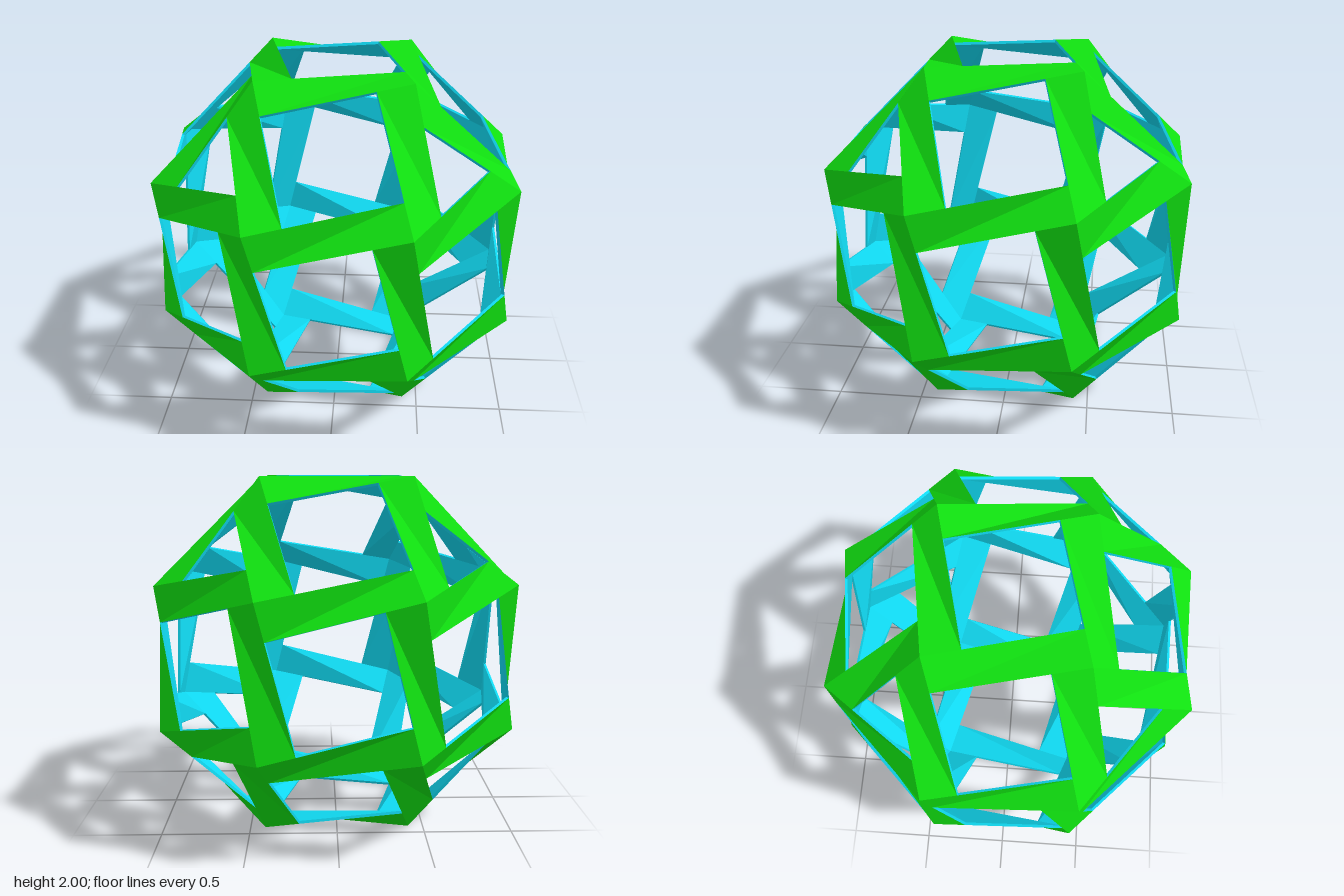
import * as THREE from 'three';

const A = Math.SQRT2 - 1;   // short coordinate of a rhombicuboctahedron corner
const INNER = 0.985;        // inner lining, scaled towards the centre

// 24 corners: permutations of (±A, ±A, ±1)
function corners() {
  const list = [];
  for (let axis = 0; axis < 3; axis++)
    for (const s of [-1, 1]) for (const t of [-1, 1]) for (const u of [-1, 1]) {
      const c = [s * A, t * A, u * A];
      c[axis] = [s, t, u][axis];
      list.push(new THREE.Vector3(...c));
    }
  return list;
}

// Faces as corner indices, counter-clockwise from outside: 18 squares, 8 triangles
function faces(points) {
  const result = [];
  for (let x = -1; x <= 1; x++) for (let y = -1; y <= 1; y++) for (let z = -1; z <= 1; z++) {
    if (!x && !y && !z) continue;
    const n = new THREE.Vector3(x, y, z);
    const reach = Math.max(...points.map(p => p.dot(n)));
    const ids = points.map((p, i) => i).filter(i => points[i].dot(n) > reach - 1e-4);
    n.normalize();
    const u = points[ids[0]].clone().projectOnPlane(n).normalize();
    const w = n.clone().cross(u);
    const angle = i => Math.atan2(points[i].dot(w), points[i].dot(u));
    result.push(ids.sort((a, b) => angle(a) - angle(b)));
  }
  return result;
}

function trianglesMesh(name, tris, color) {
  const geometry = new THREE.BufferGeometry().setFromPoints(tris.flat());
  geometry.computeVertexNormals();
  const mesh = new THREE.Mesh(geometry, new THREE.MeshStandardMaterial({ color, flatShading: true }));
  mesh.name = name;
  return mesh;
}

export function createModel() {
  const points = corners();

  // Pinwheel opening: one hole corner for every directed edge of every face
  const holeCorner = new Map();
  for (const f of faces(points)) {
    const k = f.length === 3 ? 12 / 13 : 16 / 17;
    f.forEach((a, i) => {
      const b = f[(i + 1) % f.length], c = f[(i + 2) % f.length];
      const target = points[b].clone().lerp(points[c], 0.25);
      holeCorner.set(a + ',' + b, points[a].clone().lerp(target, k));
    });
  }

  // One twisted band per edge, creased between its two hole corners
  const outer = [], lining = [];
  for (const [key, p] of holeCorner) {
    const [a, b] = key.split(',').map(Number);
    if (a > b) continue;
    const q = holeCorner.get(b + ',' + a);
    const rim = [points[a], q, points[b], p];
    const inner = rim.map(v => v.clone().multiplyScalar(INNER));
    outer.push([rim[0], rim[1], rim[3]], [rim[2], rim[3], rim[1]]);
    lining.push([inner[0], inner[3], inner[1]], [inner[2], inner[1], inner[3]]);
    // thin walls round the band
    for (let i = 0; i < 4; i++) {
      const j = (i + 1) % 4;
      lining.push([rim[i], inner[i], inner[j]], [rim[i], inner[j], rim[j]]);
    }
  }

  const group = new THREE.Group();
  group.name = 'twistedFrame';
  group.add(
    trianglesMesh('outerBands', outer, 0x10e010),
    trianglesMesh('innerLining', lining, 0x10d8f0)
  );
  group.children.forEach(m => { m.position.y = 1; });
  return group;
}
